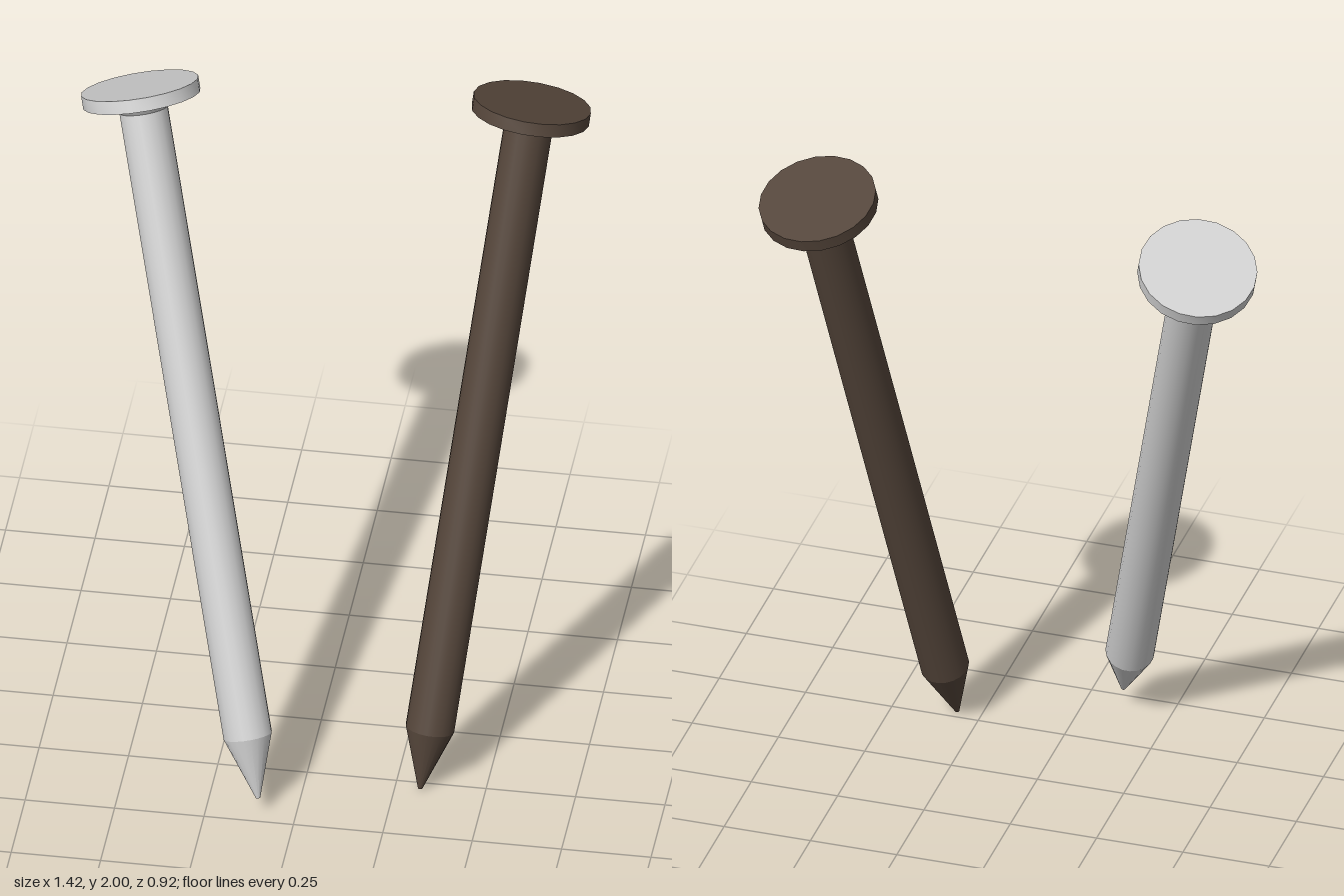
import * as THREE from 'three';
import { toCreasedNormals } from 'three/addons/utils/BufferGeometryUtils.js';

const SIDES = 20;
const LENGTH = 2.045;      // tip to top of head
const SHAFT_R = 0.068;
const POINT_LEN = 0.18;
const HEAD_R = 0.165;
const HEAD_THICK = 0.038;

// Surface of revolution from [radius, height] pairs, bottom to top
function turned(profile, crease) {
  const points = profile.map(([r, y]) => new THREE.Vector2(r, y));
  return toCreasedNormals(new THREE.LatheGeometry(points, SIDES), crease);
}

// Nail along +y with its tip at the origin
function createNail(name, material, tip, top) {
  const nail = new THREE.Group();
  nail.name = name;
  const add = (part, geometry) => {
    const mesh = new THREE.Mesh(geometry, material);
    mesh.name = part;
    nail.add(mesh);
  };
  const underHead = LENGTH - HEAD_THICK;

  // Slightly blunted point
  add('point', turned([[0, 0], [0.006, 0], [SHAFT_R, POINT_LEN]], 0.6));
  // Shaft with a short flare below the head
  add('shaft', turned([
    [SHAFT_R, POINT_LEN],
    [SHAFT_R, underHead - 0.03],
    [0.1, underHead],
  ], 0.6));
  // Flat round head
  add('head', turned([
    [0, underHead], [HEAD_R, underHead], [HEAD_R, LENGTH], [0, LENGTH],
  ], 0.6));

  // Lean the nail from its tip towards the centre of its head
  const axis = top.clone().sub(tip).normalize();
  nail.quaternion.setFromUnitVectors(new THREE.Vector3(0, 1, 0), axis);
  nail.position.copy(tip);
  return nail;
}

export function createModel() {
  const steel = new THREE.MeshStandardMaterial({ color: 0xd0d0d0 });
  steel.name = 'bright steel';
  const rust = new THREE.MeshStandardMaterial({ color: 0x54453a });
  rust.name = 'dark rust';

  const model = new THREE.Group();
  model.name = 'nails';
  model.add(
    createNail('steelNail', steel,
      new THREE.Vector3(-0.105, 0.05, 0.458), new THREE.Vector3(-0.55, 1.908, -0.27)),
    createNail('rustyNail', rust,
      new THREE.Vector3(0.32, 0.003, 0.28), new THREE.Vector3(0.543, 1.95, -0.3)),
  );
  return model;
}
